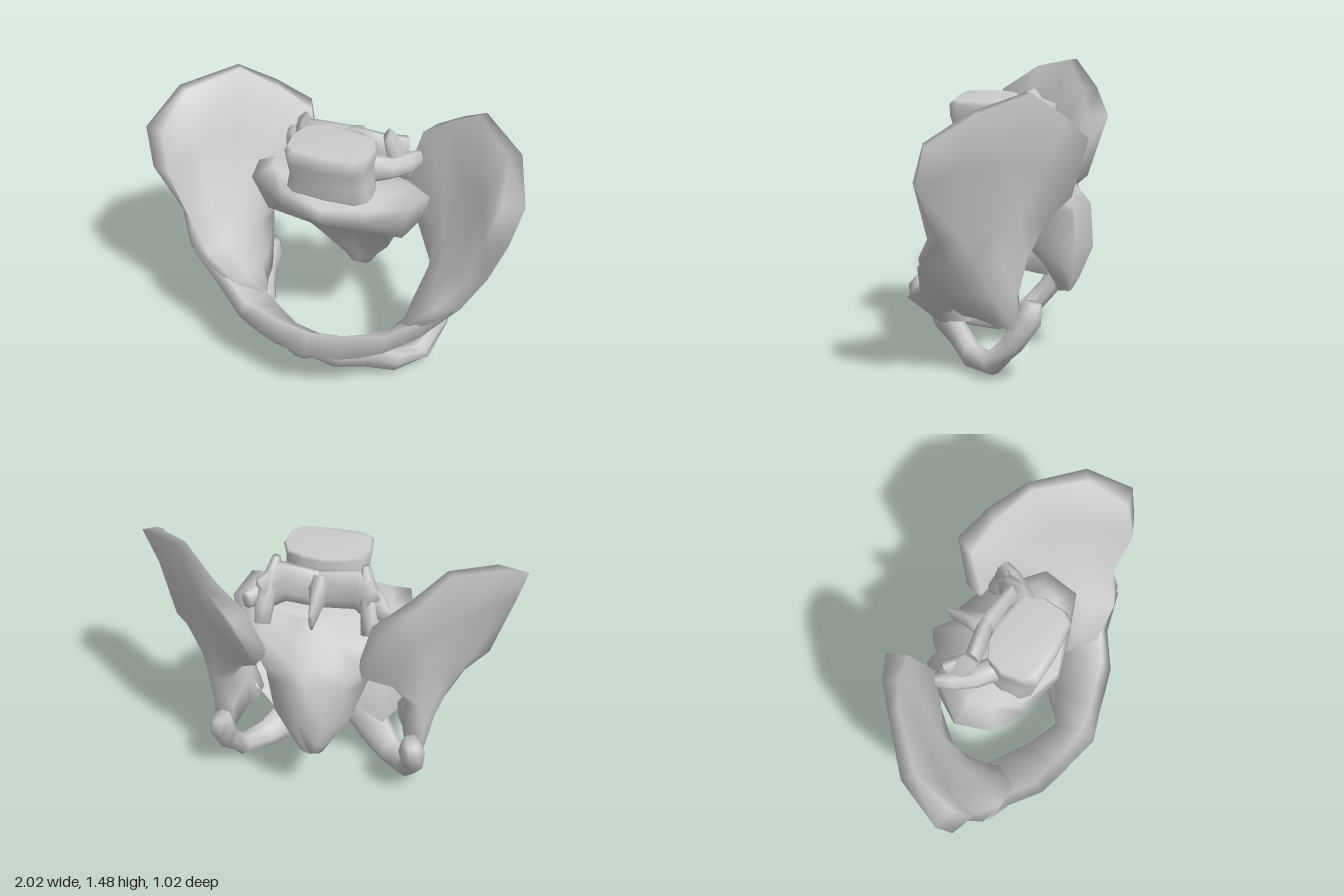
import * as THREE from 'three';

const material = new THREE.MeshStandardMaterial({ color: 0xcccccc });
const mirrorX = ([x, y, z]) => [-x, y, z];

// Closed smooth surface through rings of equal, even point count
function loft(name, rings) {
  const n = rings[0].length, pts = rings.flat(), idx = [];
  for (let r = 0; r < rings.length - 1; r++) {
    for (let i = 0; i < n; i++) {
      const a = r * n + i, b = r * n + (i + 1) % n;
      idx.push(a, b, b + n, a, b + n, a + n);
    }
  }
  // End caps: strips between the two halves of the first and last ring
  const last = (rings.length - 1) * n;
  for (let i = 0; i < n / 2 - 1; i++) {
    const [a, b, c, d] = [i, i + 1, n - 2 - i, n - 1 - i];
    idx.push(a, c, b, a, d, c);
    idx.push(last + a, last + b, last + c, last + a, last + c, last + d);
  }
  // Turn the faces outward whichever way the rings run
  let volume = 0;
  const v = pts.map((p) => new THREE.Vector3(...p));
  for (let i = 0; i < idx.length; i += 3) {
    volume += v[idx[i]].dot(v[idx[i + 1]].clone().cross(v[idx[i + 2]]));
  }
  if (volume < 0) idx.reverse();
  const g = new THREE.BufferGeometry();
  g.setAttribute('position', new THREE.Float32BufferAttribute(pts.flat(), 3));
  g.setIndex(idx);
  g.computeVertexNormals();
  const mesh = new THREE.Mesh(g, material);
  mesh.name = name;
  return mesh;
}

// Rings along a path of [x, y, z, half width, half depth]; ref is the width direction
function limb(path, ref, sides = 8) {
  const p = path.map((q) => new THREE.Vector3(q[0], q[1], q[2]));
  return path.map((q, i) => {
    const t = p[Math.min(i + 1, p.length - 1)].clone().sub(p[Math.max(i - 1, 0)]).normalize();
    const u = new THREE.Vector3(...ref);
    u.addScaledVector(t, -u.dot(t)).normalize();
    const w = t.clone().cross(u);
    return Array.from({ length: sides }, (_, k) => {
      const a = (k + 0.5) / sides * Math.PI * 2;
      return p[i].clone().addScaledVector(u, Math.cos(a) * q[3])
        .addScaledVector(w, Math.sin(a) * (q[4] ?? q[3])).toArray();
    });
  });
}

// Ring around a front-to-back row of [x, y, z, half thickness]
function plateRing(row) {
  const outer = [], inner = [];
  row.forEach(([x, y, z, t], i) => {
    const a = row[Math.max(i - 1, 0)], b = row[Math.min(i + 1, row.length - 1)];
    const dx = b[0] - a[0], dz = b[2] - a[2], l = Math.hypot(dx, dz);
    outer.push([x - dz / l * t, y, z + dx / l * t]);
    inner.unshift([x + dz / l * t, y, z - dx / l * t]);
  });
  return [...outer, ...inner];
}

// Full ring from a half ring whose first and last points lie on the midline
const symmetric = (half) => [...half, ...half.slice(1, -1).reverse().map(mirrorX)];

export function createModel() {
  const model = new THREE.Group();
  model.name = 'pelvis';
  const pair = (name, rings, parent = model) => {
    parent.add(loft('left' + name, rings));
    parent.add(loft('right' + name, rings.map((r) => r.map(mirrorX))));
  };

  // Flared hip blade, from the crest down to the hip socket
  pair('HipBlade', [
    [[0.955, 1.28, 0.16, 0.055], [0.89, 1.425, -0.06, 0.035], [0.66, 1.49, -0.27, 0.025], [0.5, 1.36, -0.39, 0.04], [0.335, 1.23, -0.46, 0.055]],
    [[0.9, 1.08, 0.22, 0.06], [0.82, 1.16, 0.02, 0.05], [0.67, 1.17, -0.16, 0.045], [0.5, 1.1, -0.28, 0.055], [0.25, 0.92, -0.36, 0.06]],
    [[0.8, 0.79, 0.16, 0.06], [0.72, 0.8, 0.07, 0.06], [0.62, 0.82, -0.06, 0.06], [0.52, 0.84, -0.17, 0.05], [0.38, 0.81, -0.27, 0.05]],
    [[0.69, 0.66, 0.26, 0.06], [0.65, 0.66, 0.14, 0.08], [0.59, 0.66, 0.02, 0.09], [0.55, 0.66, -0.1, 0.07], [0.5, 0.66, -0.23, 0.04]],
    [[0.54, 0.5, 0.26, 0.06], [0.53, 0.48, 0.16, 0.08], [0.52, 0.48, 0.03, 0.09], [0.52, 0.48, -0.08, 0.08], [0.51, 0.46, -0.19, 0.05]],
    [[0.41, 0.37, 0.14, 0.04], [0.43, 0.33, 0.08, 0.045], [0.47, 0.335, 0, 0.05], [0.5, 0.31, -0.1, 0.05], [0.515, 0.29, -0.2, 0.04]],
  ].map(plateRing));

  // Front arch joining both hip bones: top, front, bottom, back of each section
  const arch = [
    [[0.72, 0.7, 0.21], [0.72, 0.64, 0.26], [0.64, 0.56, 0.2], [0.61, 0.64, 0.16]],
    [[0.55, 0.525, 0.25], [0.56, 0.46, 0.29], [0.49, 0.36, 0.15], [0.44, 0.42, 0.09]],
    [[0.39, 0.455, 0.35], [0.4, 0.39, 0.4], [0.38, 0.3, 0.24], [0.37, 0.34, 0.1]],
    [[0.27, 0.445, 0.375], [0.28, 0.345, 0.43], [0.27, 0.22, 0.26], [0.3, 0.25, 0.09]],
    [[0.16, 0.435, 0.405], [0.17, 0.32, 0.455], [0.14, 0.21, 0.32], [0.17, 0.25, 0.18]],
  ];
  const middle = [[0, 0.43, 0.43], [0, 0.34, 0.505], [0, 0.22, 0.37], [0, 0.3, 0.27]];
  model.add(loft('pubicArch', [...arch, middle, ...arch.map((r) => r.map(mirrorX)).reverse()]));

  // Lower branch and seat bone, closing the opening below the socket
  pair('SeatBone', limb([
    [0.02, 0.29, 0.37, 0.07, 0.05], [0.12, 0.205, 0.285, 0.1, 0.06], [0.23, 0.16, 0.18, 0.11, 0.06],
    [0.35, 0.08, 0.075, 0.08, 0.06], [0.46, 0.085, -0.05, 0.06], [0.51, 0.22, -0.17, 0.06],
    [0.51, 0.35, -0.245, 0.07], [0.505, 0.43, -0.26, 0.05],
  ], [0.62, 0.78, 0]));

  // Sacrum: half sections from front midline round to the ridge at the back
  model.add(loft('sacrum', [
    [[0, 1.08, 0.255], [0.24, 1.08, 0.17], [0.33, 1.16, 0.07], [0.36, 1.14, -0.05], [0.24, 1.1, -0.16], [0.1, 1.08, -0.18], [0, 1.08, -0.22]],
    [[0, 1.01, 0.265], [0.24, 1.03, 0.2], [0.42, 1.11, 0.14], [0.47, 1.08, -0.06], [0.28, 1, -0.28], [0.12, 1, -0.27], [0, 1, -0.33]],
    [[0, 0.95, 0.19], [0.21, 0.92, 0.13], [0.37, 0.88, 0.06], [0.43, 0.92, -0.1], [0.26, 0.9, -0.35], [0.12, 0.9, -0.34], [0, 0.91, -0.41]],
    [[0, 0.8, -0.06], [0.15, 0.79, -0.01], [0.24, 0.77, -0.08], [0.27, 0.77, -0.22], [0.18, 0.82, -0.41], [0.09, 0.82, -0.39], [0, 0.83, -0.475]],
    [[0, 0.6, -0.23], [0.11, 0.6, -0.2], [0.19, 0.57, -0.24], [0.2, 0.59, -0.33], [0.13, 0.59, -0.42], [0.07, 0.6, -0.41], [0, 0.6, -0.49]],
    [[0, 0.43, -0.3], [0.07, 0.43, -0.29], [0.1, 0.44, -0.32], [0.1, 0.44, -0.36], [0.07, 0.43, -0.39], [0.04, 0.43, -0.39], [0, 0.43, -0.42]],
    [[0, 0.36, -0.32], [0.04, 0.36, -0.32], [0.06, 0.37, -0.34], [0.06, 0.37, -0.36], [0.04, 0.36, -0.37], [0.02, 0.36, -0.37], [0, 0.36, -0.38]],
  ].map(symmetric)));

  // Lowest vertebra: body, arch, side processes and spine
  const vertebra = new THREE.Group();
  vertebra.name = 'vertebra';
  model.add(vertebra);
  vertebra.add(loft('vertebraBody', [
    [1.1, 0.98, 0.19], [1.12, 1.08, 0.21], [1.2, 1, 0.21], [1.29, 1, 0.24], [1.35, 1.06, 0.24], [1.37, 1, 0.22],
  ].map(([y, w, z]) => symmetric([
    [0, y, z], [0.16 * w, y, z - 0.01], [0.2 * w, y, z - 0.05], [0.215 * w, y, 0.06], [0.18 * w, y, -0.03], [0.1 * w, y, -0.07], [0, y, -0.08],
  ]))));
  pair('SideProcess', limb([
    [0.14, 1.22, 0.02, 0.08, 0.06], [0.24, 1.19, -0.08, 0.06], [0.31, 1.18, -0.17, 0.06, 0.05], [0.35, 1.18, -0.24, 0.045, 0.03],
  ], [0, 1, 0]), vertebra);
  pair('JointProcess', limb([
    [0.225, 1.37, -0.1, 0.02, 0.04], [0.25, 1.25, -0.15, 0.045, 0.07], [0.27, 1.15, -0.2, 0.05, 0.07], [0.27, 1.06, -0.25, 0.04],
  ], [1, 0, 0]), vertebra);
  pair('Lamina', limb([
    [0.28, 1.21, -0.21, 0.1, 0.04], [0.19, 1.24, -0.12, 0.12, 0.04], [0, 1.24, -0.15, 0.11, 0.04],
  ], [0, 1, 0]), vertebra);
  vertebra.add(loft('spinousProcess', limb([
    [0, 1.23, -0.14, 0.11, 0.06], [0, 1.2, -0.24, 0.09, 0.03], [0, 1.17, -0.35, 0.06, 0.012],
  ], [0, 1, 0])));

  return model;
}
